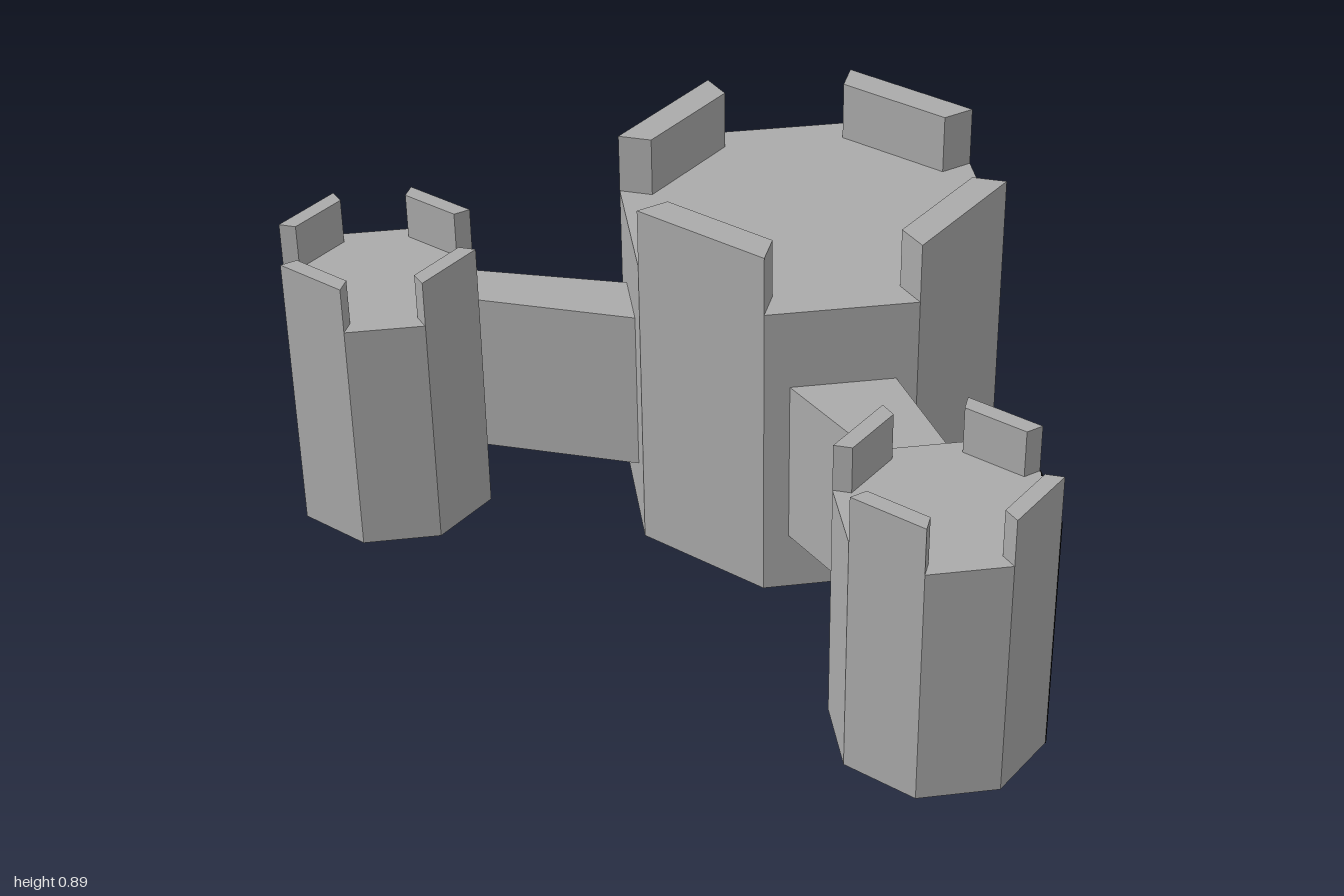
import * as THREE from 'three';

const stone = new THREE.MeshStandardMaterial({ color: 0xaaaaaa });
stone.name = 'stone grey';
const dark = new THREE.MeshStandardMaterial({ color: 0x000000 });
dark.name = 'door black';

// Upright prism over a floor outline of [x, z] corners
function prism(name, corners, y0, y1) {
  const shape = new THREE.Shape(corners.map(([x, z]) => new THREE.Vector2(x, -z)));
  const geo = new THREE.ExtrudeGeometry(shape, { depth: y1 - y0, bevelEnabled: false });
  geo.rotateX(-Math.PI / 2).translate(0, y0, 0);
  const mesh = new THREE.Mesh(geo, stone);
  mesh.name = name;
  return mesh;
}

// Octagonal tower with a battlement on every second side
function tower(name, x, z, apothem, height, top, thickness) {
  const group = new THREE.Group();
  group.name = name;
  const radius = apothem / Math.cos(Math.PI / 8);
  const corner = (k, s = 1) => {
    const a = (k + 0.5) * Math.PI / 4;
    return [radius * s * Math.cos(a), radius * s * Math.sin(a)];
  };
  group.add(prism('towerBody', [0, 1, 2, 3, 4, 5, 6, 7].map(k => corner(k)), 0, height));
  const inner = 1 - thickness / apothem;
  for (let k = 1; k < 8; k += 2) {
    const outline = [corner(k), corner(k + 1), corner(k + 1, inner), corner(k, inner)];
    group.add(prism('battlement', outline, height, top));
  }
  group.position.set(x, 0, z);
  group.rotation.y = -0.012;
  return group;
}

export function createModel() {
  const model = new THREE.Group();
  model.name = 'castle';

  // Towers
  const frontTower = tower('frontTower', -0.405, 0.777, 0.222, 0.593, 0.707, 0.038);
  model.add(
    tower('mainTower', 0.2, 0.02, 0.42, 0.75, 0.895, 0.073),
    frontTower,
    tower('backTower', -0.405, -0.777, 0.222, 0.593, 0.707, 0.038)
  );

  // Black panel on one side of the front tower
  const panel = new THREE.Mesh(new THREE.BoxGeometry(0.184, 0.593, 0.004), dark);
  panel.name = 'blackPanel';
  panel.rotation.y = Math.PI / 4;
  panel.position.set(0.222 * Math.SQRT1_2, 0.2965, 0.222 * Math.SQRT1_2);
  frontTower.add(panel);

  // Tapered walls joining the small towers to the main one
  model.add(
    prism('frontWall', [[-0.304, 0.575], [-0.199, 0.68], [-0.006, 0.393], [-0.178, 0.222]], 0.145, 0.555),
    prism('backWall', [[-0.302, -0.58], [-0.205, -0.675], [-0.032, -0.327], [-0.146, -0.215]], 0.145, 0.555)
  );
  return model;
}
